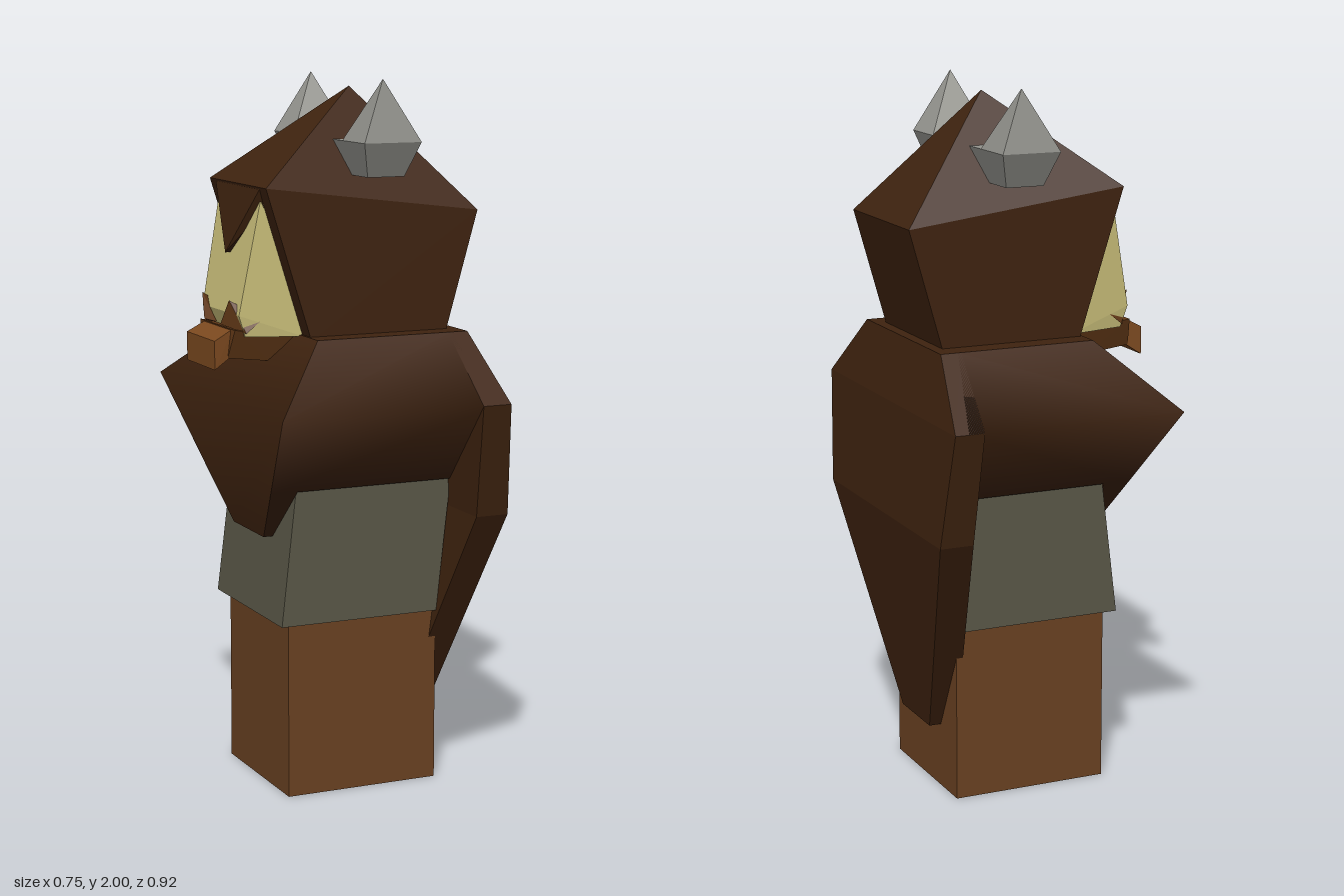
import * as THREE from 'three';
import { mergeGeometries } from 'three/addons/utils/BufferGeometryUtils.js';
import { ConvexGeometry } from 'three/addons/geometries/ConvexGeometry.js';

const paint = (name, color, side = THREE.FrontSide) => {
  const m = new THREE.MeshStandardMaterial({ color, side });
  m.name = name;
  return m;
};

// Flat-faced solid around a set of corners
const hull = (pts) => new ConvexGeometry(pts.map((p) => new THREE.Vector3(...p)));

// Corners repeated on both sides of the z = 0 plane
const both = (pts) => pts.flatMap(([x, y, z]) => (z ? [[x, y, z], [x, y, -z]] : [[x, y, 0]]));

// Sheet through rows of points, smooth within itself and creased against its neighbours
function sheet(rows) {
  const n = rows[0].length;
  const index = [];
  for (let r = 0; r < rows.length - 1; r++) {
    for (let i = 0; i < n - 1; i++) {
      const a = r * n + i, b = a + n;
      index.push(a, b, a + 1, a + 1, b, b + 1);
    }
  }
  const g = new THREE.BufferGeometry();
  g.setAttribute('position', new THREE.Float32BufferAttribute(rows.flat(2), 3));
  g.setIndex(index);
  g.computeVertexNormals();
  return g;
}

export function createModel() {
  const model = new THREE.Group();
  model.name = 'hoodedFigure';
  const add = (name, geometry, material, parent = model) => {
    const mesh = new THREE.Mesh(geometry, material);
    mesh.name = name;
    parent.add(mesh);
    return mesh;
  };

  const cloth = paint('darkBrownCloth', 0x3f230f);
  const clothSheet = paint('darkBrownMantle', 0x3f230f, THREE.DoubleSide);
  const leather = paint('brownLeather', 0x6b4222, THREE.DoubleSide);
  const grey = paint('greyTunic', 0x5a5848);
  const bone = paint('paleFace', 0xcdc27c);
  const metal = paint('greyHorn', 0x969690);
  const jawBrown = paint('jawBrown', 0x643a18);
  const lipBrown = paint('lipBrown', 0x7d4a20);

  // Legs: one block, open underneath
  const legs = new THREE.BoxGeometry(0.455, 0.52, 0.43);
  const sides = Array.from(legs.index.array);
  sides.splice(18, 6);
  legs.setIndex(sides);
  legs.clearGroups();
  add('legs', legs, leather).position.set(0.0175, 0.26, 0);

  // Tunic skirt
  add('tunic', hull(both([
    [-0.24, 0.5, 0.24], [0.235, 0.5, 0.24], [-0.195, 0.88, 0.235], [0.28, 0.88, 0.235],
  ])), grey);

  // Mantle: shoulder sides, pointed chest panel and flat top
  const mantle = new THREE.Group();
  mantle.name = 'mantle';
  model.add(mantle);
  for (const s of [1, -1]) {
    add('mantleSide', sheet([
      [[-0.145, 1.3, 0.27 * s], [0.26, 1.3, 0.27 * s]],
      [[-0.33, 1.12, 0.46 * s], [0.31, 1.12, 0.46 * s]],
      [[-0.275, 0.88, 0.245 * s], [0.28, 0.88, 0.245 * s]],
    ]), clothSheet, mantle);
    add('chestPanelEdge', sheet([
      [[-0.275, 0.88, 0.245 * s], [-0.195, 0.88, 0.245 * s]],
      [[-0.24, 0.73, 0.11 * s], [-0.21, 0.73, 0.11 * s]],
    ]), clothSheet, mantle);
  }
  add('chestPanel', sheet([[-0.145, 1.3, 0.27], [-0.33, 1.12, 0.46], [-0.24, 0.73, 0.11]]
    .map(([x, y, z]) => [[x, y, -z], [x, y, z]])), clothSheet, mantle);
  add('chestPanelBottom', sheet([
    [[-0.24, 0.73, -0.11], [-0.24, 0.73, 0.11]], [[-0.21, 0.73, -0.11], [-0.21, 0.73, 0.11]],
  ]), clothSheet, mantle);
  add('mantleTop', sheet([
    [[-0.145, 1.3, -0.27], [-0.145, 1.3, 0.27]], [[0.3, 1.3, -0.27], [0.3, 1.3, 0.27]],
  ]), clothSheet, mantle);

  // Back shield: levels of [y, half width, inner x, outer x]
  const levels = [
    [1.3, 0.27, 0.25, 0.31], [1.12, 0.46, 0.265, 0.35],
    [0.8, 0.405, 0.275, 0.372], [0.185, 0.1, 0.195, 0.28],
  ];
  const bands = levels.slice(1).map((low, i) =>
    hull(both([levels[i], low].flatMap(([y, z, a, b]) => [[a, y, z], [b, y, z]]))));
  add('backShield', mergeGeometries(bands), cloth);

  // Hood with a pyramid top and a pointed brow
  add('hood', hull(both([
    [-0.135, 1.29, 0.205], [0.275, 1.29, 0.205], [0.372, 1.63, 0.205],
    [-0.268, 1.71, 0.205], [0.07, 1.97, 0],
  ])), cloth);
  add('brow', hull(both([
    [-0.268, 1.705, 0.16], [-0.25, 1.65, 0.15], [-0.305, 1.52, 0], [-0.28, 1.52, 0],
  ])), cloth);

  // Face
  add('face', hull(both([
    [-0.262, 1.67, 0.15], [-0.32, 1.36, 0.135], [-0.3, 1.3, 0.13],
    [-0.135, 1.295, 0.15], [-0.2, 1.67, 0.15],
  ])), bone);
  add('jaw', hull(both([
    [-0.15, 1.3, 0.13], [-0.33, 1.32, 0.13], [-0.34, 1.24, 0.1], [-0.215, 1.225, 0.1],
  ])), jawBrown);
  add('lip', hull(both([
    [-0.325, 1.32, 0.1], [-0.38, 1.29, 0.105], [-0.38, 1.21, 0.105], [-0.335, 1.24, 0.1],
  ])), lipBrown);
  for (const s of [1, -1]) {
    add('tusk', hull([
      [-0.335, 1.4, 0.1 * s], [-0.25, 1.35, 0.14 * s],
      [-0.3, 1.31, 0.14 * s], [-0.345, 1.33, 0.06 * s], [-0.31, 1.32, 0.06 * s],
    ]), jawBrown);
  }

  // Horns: the second is the first turned half way round
  const x0 = -0.085, x1 = 0.085, b = 0.055;
  const stub = hull([0.06, 0.17].flatMap((z) =>
    [[x0, 1.83, z], [x1, 1.83, z], [-b, 1.735, z], [b, 1.735, z]]));
  const ring = [[x0, 1.83, 0.165], [x1, 1.83, 0.165], [x0, 1.83, 0.31], [x1, 1.83, 0.31]];
  const elbow = hull([...ring, [-b, 1.735, 0.165], [b, 1.735, 0.165], [-b, 1.735, 0.265], [b, 1.735, 0.265]]);
  const spike = hull([...ring, [-0.02, 2, 0.285]]);
  const horn = mergeGeometries([stub, elbow, spike]);
  for (const turn of [0, Math.PI]) {
    const mesh = add('horn', horn, metal);
    mesh.position.x = 0.06;
    mesh.rotation.y = turn;
  }
  return model;
}
